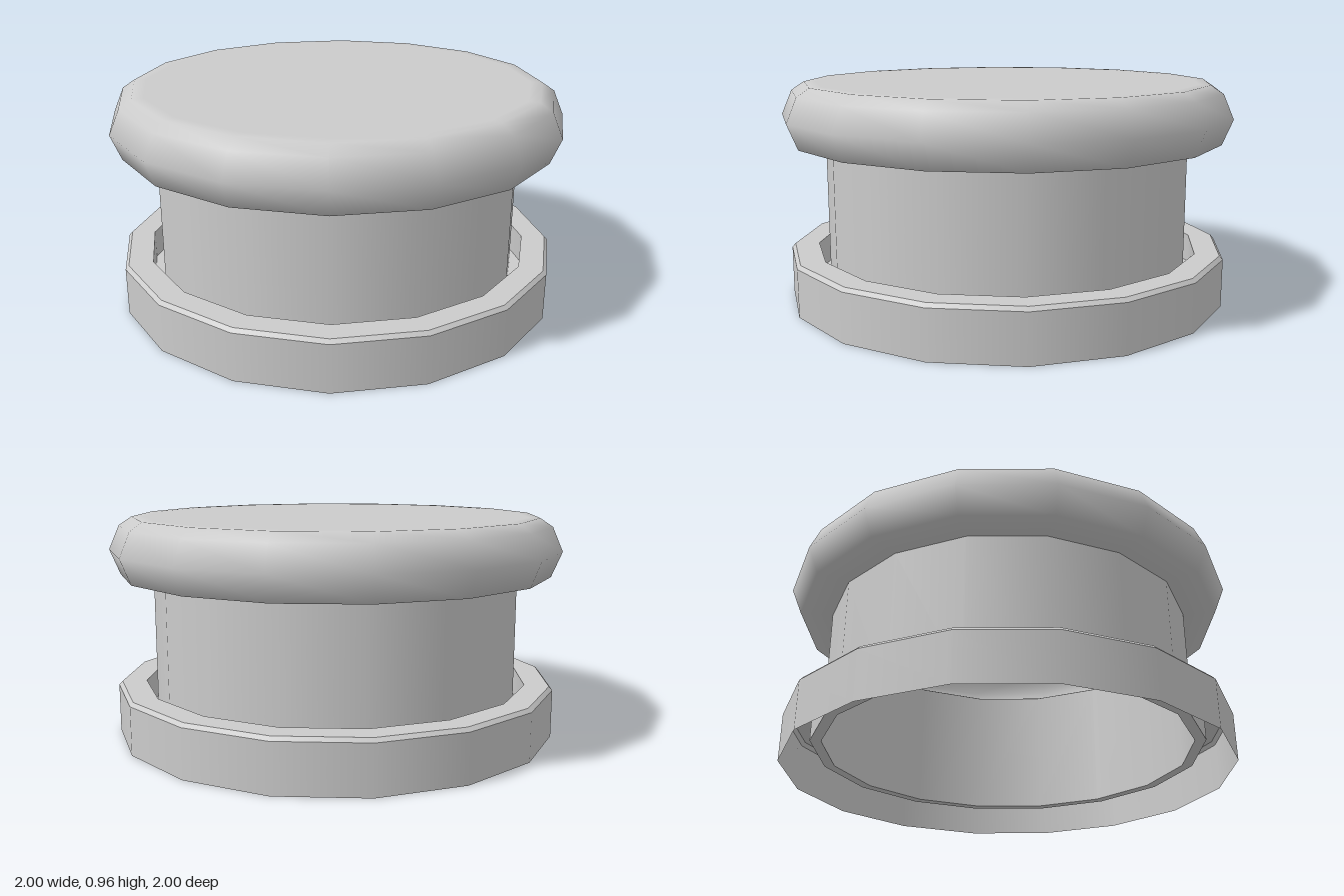
import * as THREE from 'three';

const SIDES = 16;
const material = new THREE.MeshStandardMaterial({ color: 0xcccccc, side: THREE.DoubleSide });

// One smooth turned surface from [radius, height] pairs
function turned(name, profile) {
  const points = profile.map(([r, y]) => new THREE.Vector2(r, y));
  const mesh = new THREE.Mesh(new THREE.LatheGeometry(points, SIDES), material);
  mesh.name = name;
  return mesh;
}

// Several spans of one part, with a hard edge between each pair
function part(name, spans) {
  const group = new THREE.Group();
  group.name = name;
  for (const [label, profile] of spans) group.add(turned(label, profile));
  return group;
}

export function createModel() {
  const model = new THREE.Group();
  model.name = 'plungerButton';

  // Rounded push cap, hollow and open into the column
  model.add(turned('cap', [
    [0.81, 0.71], [0.955, 0.71], [1, 0.82], [0.955, 0.925], [0.9, 0.962], [0.85, 0.963], [0, 0.963],
  ]));

  // Hollow column, sitting on the ledge inside the collar
  model.add(turned('column', [[0.812, 0.1], [0.812, 0.71]]));

  // Open-bottomed collar with a bevelled rim and a sunken inner ledge
  model.add(part('collar', [
    ['collarWall', [[0.982, 0], [0.982, 0.21]]],
    ['collarBevel', [[0.982, 0.21], [0.967, 0.226]]],
    ['collarRim', [[0.967, 0.226], [0.86, 0.226]]],
    ['collarInnerWall', [[0.86, 0.226], [0.86, 0.1]]],
    ['collarLedge', [[0.86, 0.1], [0.812, 0.1]]],
  ]));

  return model;
}
